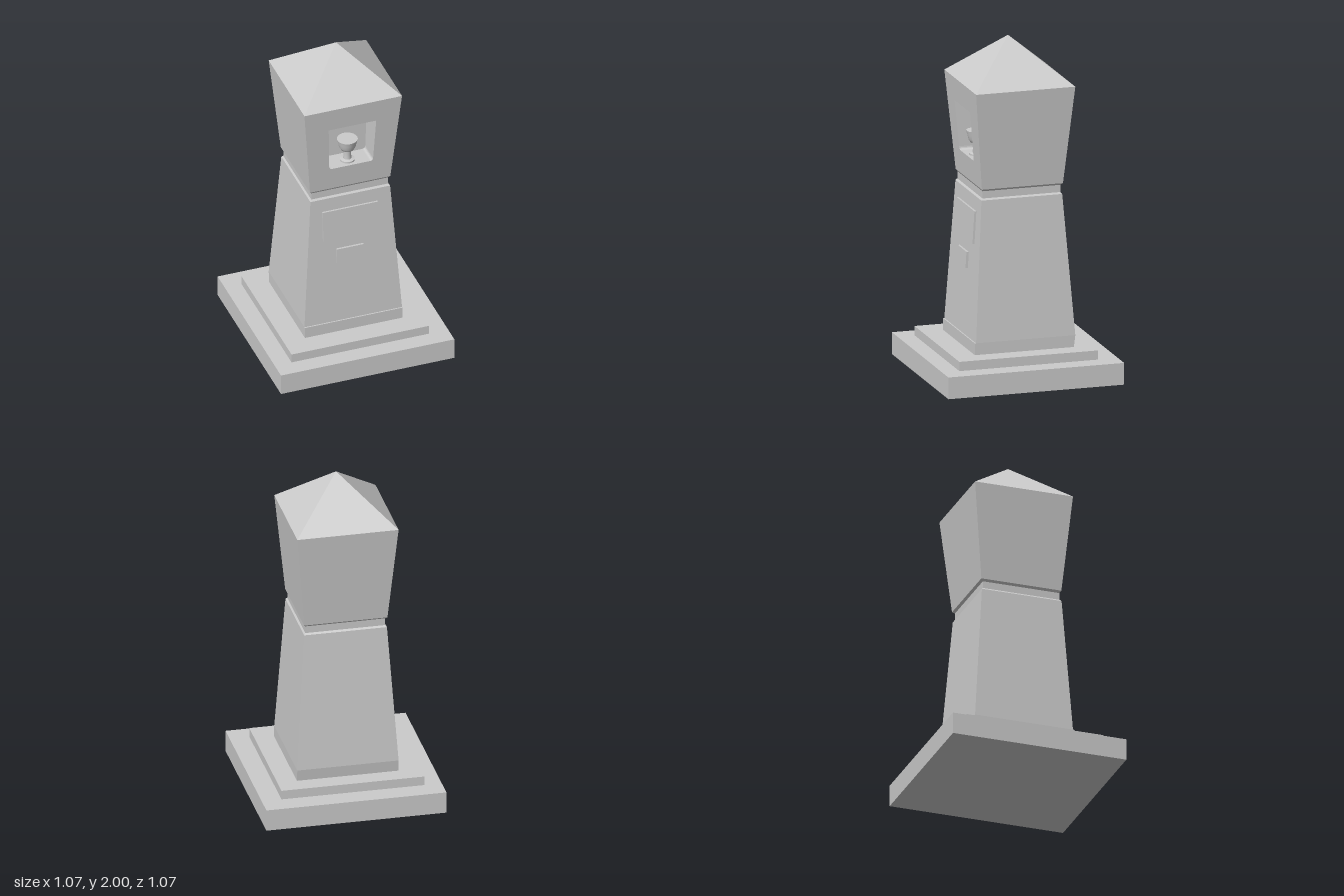
import * as THREE from 'three';

const material = new THREE.MeshStandardMaterial({ color: 0xcccccc, side: THREE.DoubleSide });

function add(parent, name, geometry) {
  const mesh = new THREE.Mesh(geometry, material);
  mesh.name = name;
  parent.add(mesh);
  return mesh;
}

// Flat-faced geometry from a list of quads (corners counter-clockwise from outside)
function fromQuads(quads) {
  const pos = [];
  for (const [a, b, c, d] of quads) pos.push(...a, ...b, ...c, ...a, ...c, ...d);
  const g = new THREE.BufferGeometry();
  g.setAttribute('position', new THREE.Float32BufferAttribute(pos, 3));
  g.computeVertexNormals();
  return g;
}

// Stack of rectangular sections [y, halfWidth, zFront, zBack]
function loft(levels, { front = true, caps = true } = {}) {
  const rings = levels.map(([y, h, zf, zb]) => [[-h, y, zf], [h, y, zf], [h, y, zb], [-h, y, zb]]);
  const quads = [];
  for (let i = 0; i + 1 < rings.length; i++) {
    for (let k = front ? 0 : 1; k < 4; k++) {
      const n = (k + 1) % 4;
      quads.push([rings[i][k], rings[i][n], rings[i + 1][n], rings[i + 1][k]]);
    }
  }
  if (caps) quads.push([...rings[0]].reverse(), rings[rings.length - 1]);
  return fromQuads(quads);
}

// Main sections of the pillar
const PLINTH_TOP = [0.255, 0.3, 0.29, -0.312];
const SHAFT_TOP = [1.09, 0.245, 0.24, -0.25];
const HEAD_BOTTOM = [1.155, 0.247, 0.238, -0.254];
const HEAD_TOP = [1.74, 0.3, 0.29, -0.312];

// Front z between two sections at height y
const frontZ = (a, b, y) => THREE.MathUtils.mapLinear(y, a[0], b[0], a[2], b[2]);
const headZ = (y) => frontZ(HEAD_BOTTOM, HEAD_TOP, y);

// Niche outline: slightly tapered, with rounded lower corners
function nicheOutline() {
  const s = new THREE.Shape();
  s.moveTo(-0.146, 1.595);
  s.lineTo(-0.136, 1.32);
  s.quadraticCurveTo(-0.135, 1.3, -0.118, 1.3);
  s.lineTo(0.118, 1.3);
  s.quadraticCurveTo(0.135, 1.3, 0.136, 1.32);
  s.lineTo(0.146, 1.595);
  s.closePath();
  return s;
}

function createHead() {
  const head = new THREE.Group();
  head.name = 'head';
  add(head, 'headSides', loft([HEAD_BOTTOM, HEAD_TOP], { front: false, caps: false }));

  // Sloping front panel pierced by the niche
  const outline = nicheOutline();
  const [b, t] = [HEAD_BOTTOM, HEAD_TOP];
  const panel = new THREE.Shape([[-b[1], b[0]], [b[1], b[0]], [t[1], t[0]], [-t[1], t[0]]]
    .map(([x, y]) => new THREE.Vector2(x, y)));
  panel.holes.push(outline);
  const front = new THREE.ShapeGeometry(panel, 5);
  const p = front.attributes.position;
  for (let i = 0; i < p.count; i++) p.setZ(i, headZ(p.getY(i)));
  front.computeVertexNormals();
  add(head, 'headFront', front);

  // Niche walls and upright back
  const backZ = 0.12;
  const pts = outline.getPoints(5);
  const walls = [];
  for (let i = 0; i < pts.length; i++) {
    const q = pts[i], r = pts[(i + 1) % pts.length];
    if (q.distanceTo(r) < 1e-6) continue;
    walls.push([[q.x, q.y, headZ(q.y)], [r.x, r.y, headZ(r.y)], [r.x, r.y, backZ], [q.x, q.y, backZ]].reverse());
  }
  add(head, 'nicheWalls', fromQuads(walls));
  add(head, 'nicheBack', new THREE.ShapeGeometry(outline, 5)).position.z = backZ;

  // Low pyramid roof
  add(head, 'roof', loft([HEAD_TOP, [2, 0, 0, 0]], { caps: false }));
  return head;
}

// Small goblet standing in the niche
function createCup() {
  const cup = new THREE.Group();
  cup.name = 'cup';
  const part = (name, profile) => add(cup, name,
    new THREE.LatheGeometry(profile.map(([r, y]) => new THREE.Vector2(r, y)), 24));
  part('cupFoot', [[0.043, 0], [0.043, 0.01]]);
  part('cupFootTop', [[0.043, 0.01], [0.024, 0.014]]);
  part('cupStem', [[0.024, 0.014], [0.022, 0.04], [0.024, 0.068]]);
  part('cupBowl', [[0.024, 0.068], [0.038, 0.077], [0.048, 0.095], [0.054, 0.12], [0.061, 0.147]]);
  part('cupTop', [[0.061, 0.147], [0, 0.147]]);
  cup.position.set(0, 1.3, 0.19);
  return cup;
}

// Plaque lying on the sloping front of the shaft
function addPlaque(parent, name, x0, x1, y0, y1, thickness) {
  const y = (y0 + y1) / 2;
  const slope = Math.atan((PLINTH_TOP[2] - SHAFT_TOP[2]) / (SHAFT_TOP[0] - PLINTH_TOP[0]));
  const mesh = add(parent, name, new THREE.BoxGeometry(x1 - x0, y1 - y0, thickness * 2));
  mesh.position.set((x0 + x1) / 2, y, frontZ(PLINTH_TOP, SHAFT_TOP, y));
  mesh.rotation.x = -slope;
}

export function createModel() {
  const model = new THREE.Group();
  model.name = 'shrinePillar';

  // Stepped base
  add(model, 'baseSlab', new THREE.BoxGeometry(1.066, 0.13, 1.066)).position.y = 0.065;
  add(model, 'baseStep', new THREE.BoxGeometry(0.846, 0.055, 0.84)).position.set(-0.007, 0.1575, 0.009);
  add(model, 'plinth', loft([[0.185, 0.3, 0.298, -0.303], [0.255, 0.3, 0.298, -0.312]]));

  // Tapered shaft and narrow neck
  add(model, 'shaft', loft([PLINTH_TOP, SHAFT_TOP, [1.1, 0.237, 0.232, -0.242]]));
  add(model, 'neck', loft([[1.1, 0.236, 0.23, -0.241], [1.143, 0.236, 0.23, -0.241], HEAD_BOTTOM]));

  addPlaque(model, 'largePlaque', -0.175, 0.165, 0.813, 1.007, 0.012);
  addPlaque(model, 'smallPlaque', -0.095, 0.071, 0.645, 0.742, 0.014);

  model.add(createHead(), createCup());
  return model;
}
